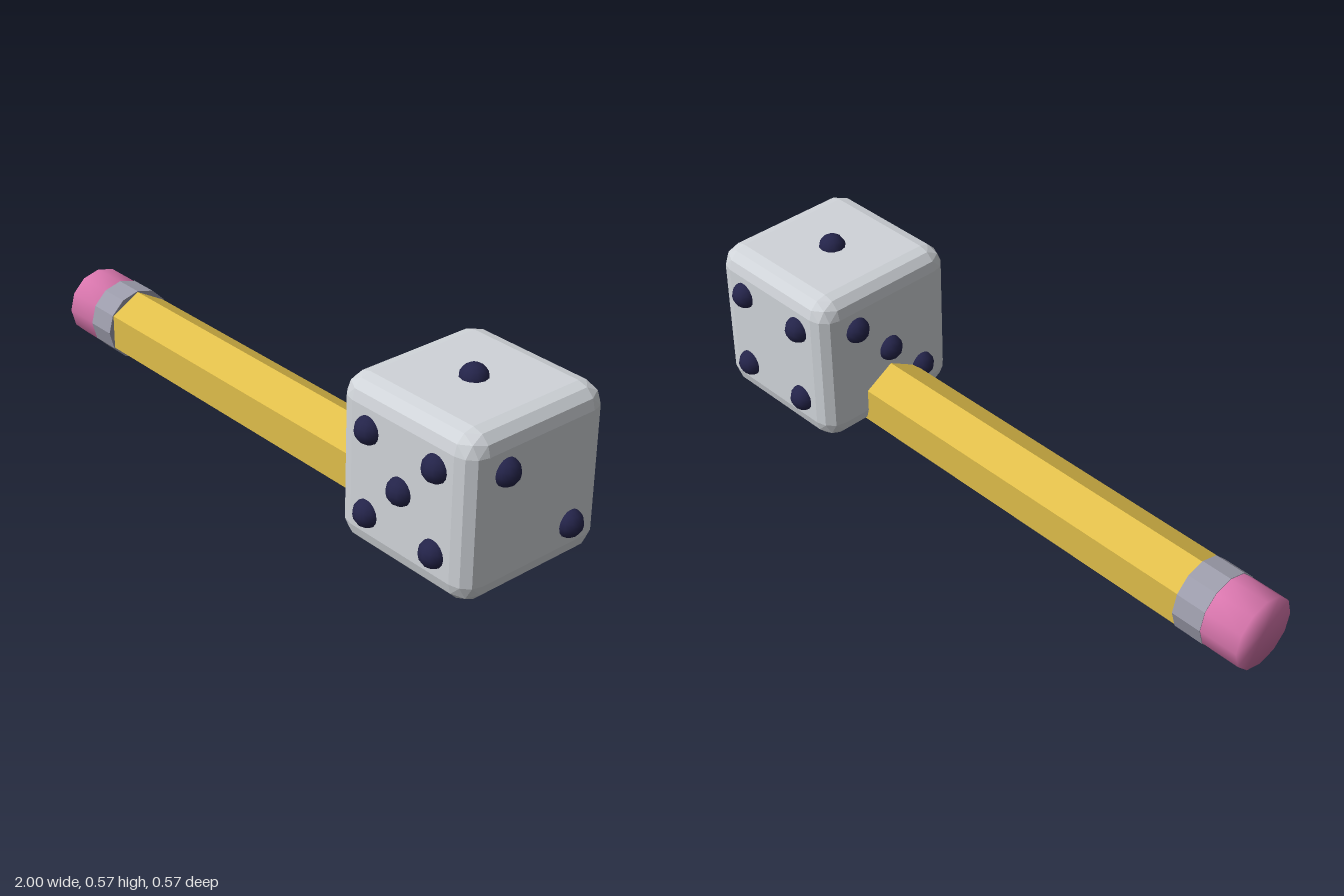
import * as THREE from 'three';
import { mergeVertices } from 'three/addons/utils/BufferGeometryUtils.js';
import { ConvexGeometry } from 'three/addons/geometries/ConvexGeometry.js';

const mat = (name, color) => {
  const m = new THREE.MeshStandardMaterial({ color });
  m.name = name;
  return m;
};

// Faceted tube along x, from x0 to x1
function rod(x0, x1, r0, r1, sides, start = 0) {
  const g = new THREE.CylinderGeometry(r1, r0, x1 - x0, sides, 1, false, start);
  return g.rotateZ(-Math.PI / 2).translate((x0 + x1) / 2, 0, 0);
}

function flat(g) {
  const f = g.toNonIndexed();
  f.computeVertexNormals();
  return f;
}

// Normals averaged over the rim
function soft(g) {
  g.deleteAttribute('normal');
  g.deleteAttribute('uv');
  const s = mergeVertices(g);
  s.computeVertexNormals();
  return s;
}

// Cube with edges rounded in three flat steps
function bevelledCube(half, r) {
  const s = Math.sqrt(3) / 2, t = 1 / Math.sqrt(3);
  const dirs = [[t, t, t]];
  for (let a = 0; a < 3; a++) {
    for (const [p, q] of [[1, 0], [s, 0.5], [0.5, s]]) {
      const d = [0, 0, 0];
      d[a] = p;
      d[(a + 1) % 3] = q;
      dirs.push(d);
    }
  }
  const points = [];
  for (const x of [-1, 1]) for (const y of [-1, 1]) for (const z of [-1, 1]) {
    for (const d of dirs) {
      const [px, py, pz] = d.map(v => half - r + r * v);
      points.push(new THREE.Vector3(x * px, y * py, z * pz));
    }
  }
  return new ConvexGeometry(points);
}

export function createModel() {
  const yellow = mat('pencil yellow', 0xe0be4a);
  const wood = mat('bare wood', 0xcaa06a);
  const metal = mat('ferrule grey', 0x9c9cab);
  const pink = mat('eraser pink', 0xdc78b0);
  const white = mat('die pale grey', 0xd0d4d9);
  const navy = mat('pip navy', 0x24244a);

  const model = new THREE.Group();
  const add = (parent, name, geometry, material) => {
    const mesh = new THREE.Mesh(geometry, material);
    mesh.name = name;
    parent.add(mesh);
    return mesh;
  };

  // Pencil lying along x, its point buried in the die
  const pencil = new THREE.Group();
  pencil.name = 'pencil';
  pencil.position.y = 0.116;
  model.add(pencil);
  add(pencil, 'pencilBody', flat(rod(-0.8, 0.72, 0.111, 0.111, 6, Math.PI / 2)), yellow);
  add(pencil, 'sharpenedWood', flat(rod(0.71, 0.87, 0.115, 0.03, 6)), wood);
  add(pencil, 'pencilLead', flat(rod(0.87, 0.92, 0.03, 0.002, 6)), navy);
  add(pencil, 'ferrule', flat(rod(-0.877, -0.78, 0.114, 0.114, 12)), metal);
  add(pencil, 'eraser', soft(rod(-1, -0.87, 0.112, 0.112, 12)), pink);

  // Die
  const half = 0.249, step = 0.125;
  const die = new THREE.Group();
  die.name = 'die';
  die.position.set(0.715, 0.287, 0);
  model.add(die);
  add(die, 'dieBody', bevelledCube(half, 0.062), white);

  // Pips: grid positions on each face
  const corners = [[-1, -1], [1, -1], [-1, 1], [1, 1]];
  const five = [...corners, [0, 0]];
  const d = half - 0.005;
  const faces = [
    ['front', five, (u, v) => [u, v, d]],
    ['back', corners, (u, v) => [u, v, -d]],
    ['top', [[0, 0]], (u, v) => [u, d, v]],
    ['bottom', five, (u, v) => [u, -d, v]],
    ['plusX', [[1, 1], [-1, -1]], (u, v) => [d, v, u]],
    ['minusX', [[-1, 1], [0, 0], [1, -1]], (u, v) => [-d, v, u]],
  ];
  const pipGeometry = new THREE.SphereGeometry(0.0415, 12, 8);
  for (const [face, spots, place] of faces) {
    for (const [u, v] of spots) {
      add(die, face + 'Pip', pipGeometry, navy).position.set(...place(u * step, v * step));
    }
  }
  return model;
}
